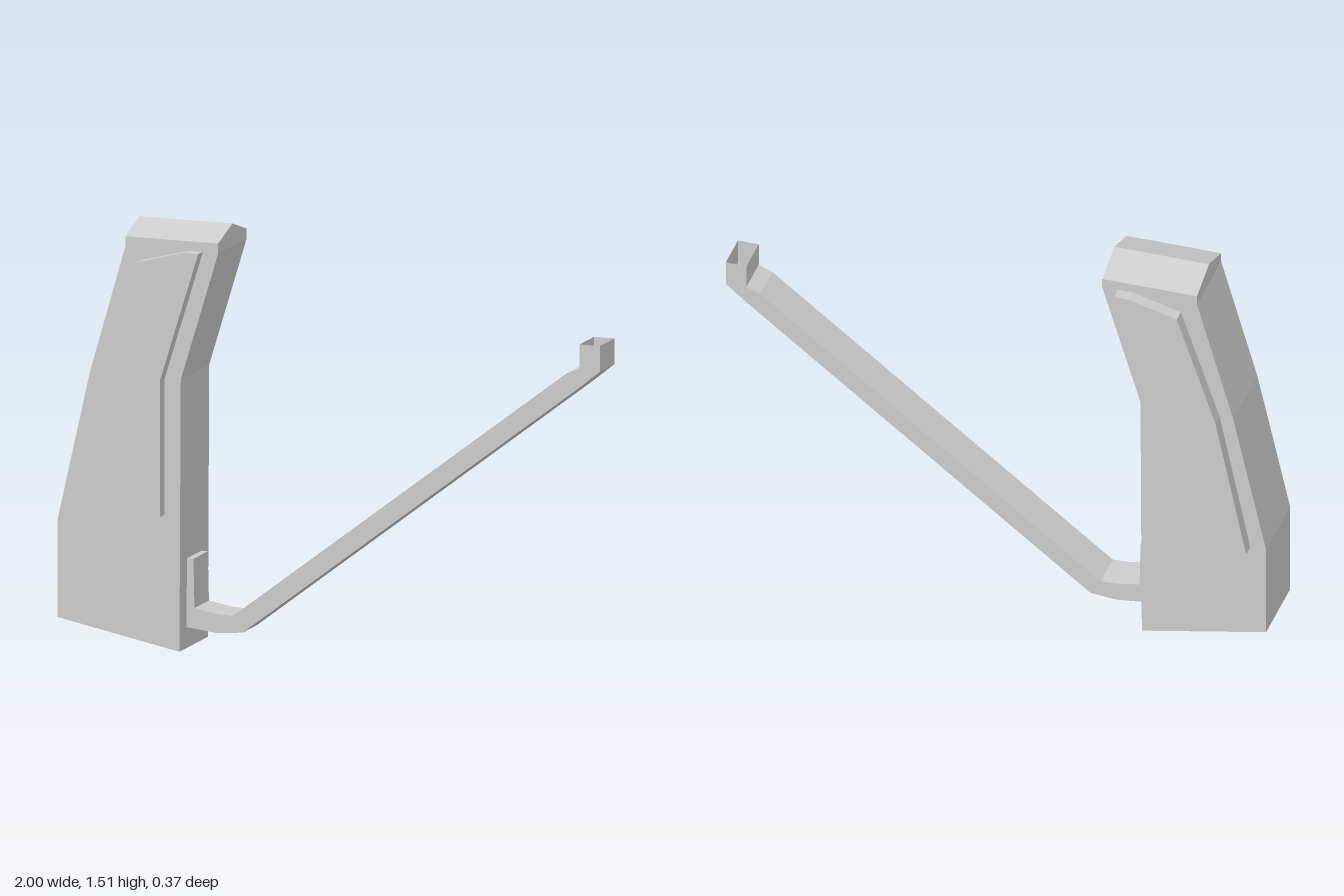
import * as THREE from 'three';

const material = new THREE.MeshStandardMaterial({ color: 0xcccccc, flatShading: true, side: THREE.DoubleSide });

// Extrude a side outline (x, y) from z0 to z1
function slab(outline, z0, z1) {
  const shape = new THREE.Shape(outline.map(([x, y]) => new THREE.Vector2(x, y)));
  const geometry = new THREE.ExtrudeGeometry(shape, { depth: z1 - z0, bevelEnabled: false });
  return geometry.translate(0, 0, z0);
}

// Leave out the triangles lying entirely at or above a height
function openAbove(geometry, height) {
  const p = geometry.toNonIndexed ? (geometry.index ? geometry.toNonIndexed() : geometry).attributes.position : null;
  const kept = [];
  for (let i = 0; i < p.count; i += 3) {
    const corners = [i, i + 1, i + 2];
    if (corners.every((k) => p.getY(k) >= height)) continue;
    for (const k of corners) kept.push(p.getX(k), p.getY(k), p.getZ(k));
  }
  const result = new THREE.BufferGeometry();
  result.setAttribute('position', new THREE.Float32BufferAttribute(kept, 3));
  result.computeVertexNormals();
  return result;
}

export function createModel() {
  const group = new THREE.Group();
  const add = (name, geometry) => {
    const mesh = new THREE.Mesh(geometry, material);
    mesh.name = name;
    group.add(mesh);
    return mesh;
  };

  // Leaning body
  add('body', slab([
    [-1, 0.09], [-0.545, 0], [-0.54, 0.97], [-0.4, 1.43], [-0.4, 1.465],
    [-0.747, 1.465], [-0.747, 1.43], [-0.88, 0.97], [-1, 0.44],
  ], -0.138, 0.138));

  // Gabled cap with its ridge along x
  const cap = slab([[-0.138, 1.465], [0.138, 1.465], [0, 1.51]], 0, 0.347);
  cap.rotateY(Math.PI / 2).translate(-0.747, 0, 0);
  add('cap', cap);

  // Raised plate on each side
  const plate = [
    [-0.942, 0.44], [-0.78, 0.44], [-0.6, 0.485], [-0.6, 0.97],
    [-0.457, 1.432], [-0.51, 1.432], [-0.688, 1.385], [-0.83, 0.97],
  ];
  add('leftPlate', slab(plate, 0.138, 0.185));
  add('rightPlate', slab(plate, -0.185, -0.138));

  // Bent arm with a mounting tab and an open cup at the tip
  const arm = slab([
    [-0.544, 0.075], [-0.43, 0.062], [-0.335, 0.071], [0.92, 1.035], [1, 1.1], [1, 1.192],
    [0.924, 1.192], [0.924, 1.105], [0.875, 1.085], [-0.372, 0.127], [-0.43, 0.13],
    [-0.515, 0.145], [-0.519, 0.32], [-0.544, 0.32],
  ], -0.07, 0.07);
  add('arm', openAbove(arm, 1.19));

  return group;
}
